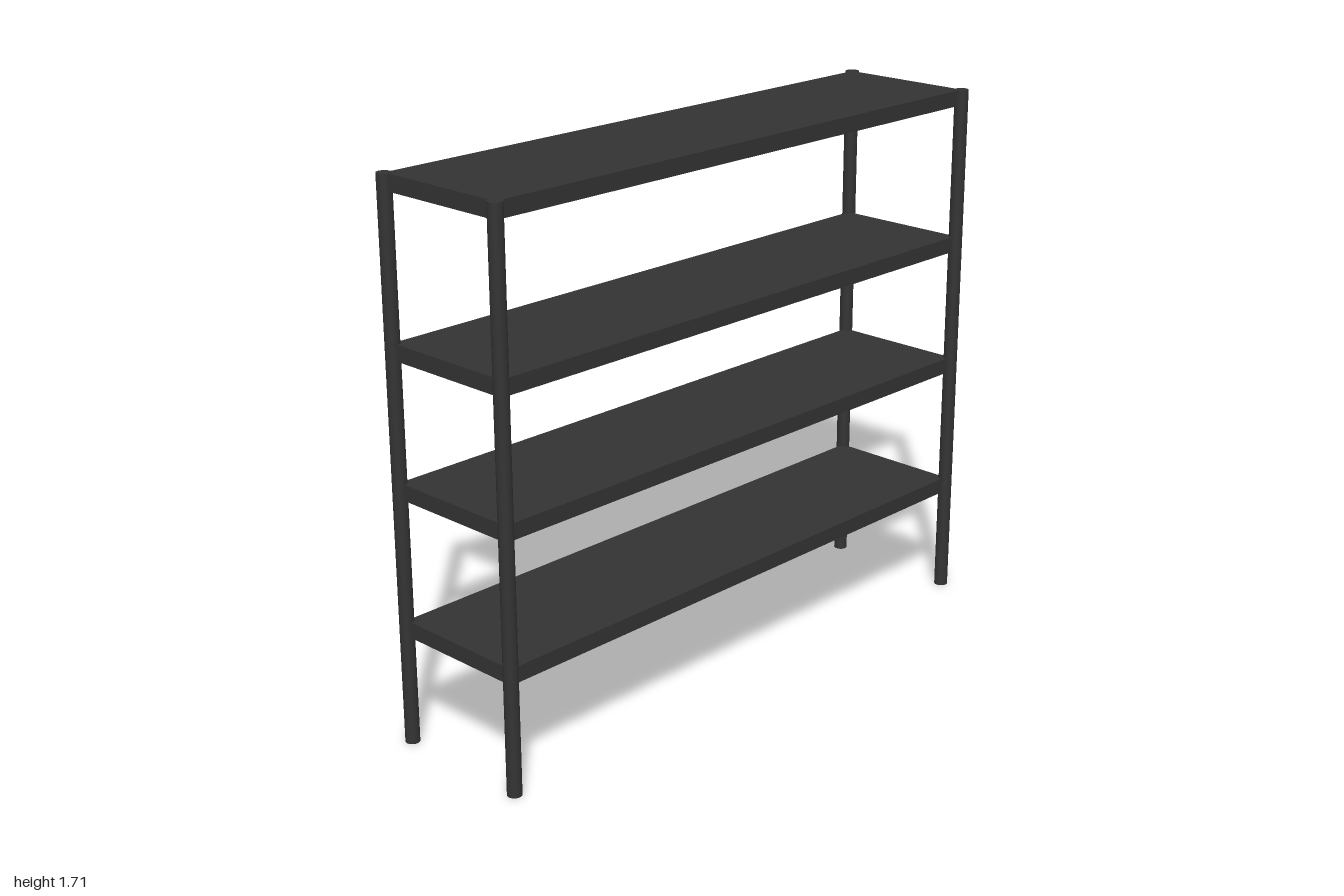
import * as THREE from 'three';

export function createModel() {
  const group = new THREE.Group();
  const material = new THREE.MeshStandardMaterial({ color: 0x333333 });
  const height = 1.71, radius = 0.022, postX = 0.978, postZ = 0.224;

  // Four round corner posts
  const postGeometry = new THREE.CylinderGeometry(radius, radius, height, 24);
  for (const sx of [-1, 1]) {
    for (const sz of [-1, 1]) {
      const post = new THREE.Mesh(postGeometry, material);
      post.name = (sz > 0 ? 'front' : 'back') + (sx > 0 ? 'Left' : 'Right') + 'Post';
      post.position.set(sx * postX, height / 2, sz * postZ);
      group.add(post);
    }
  }

  // Shelves span between the post centres; the top one sits just under the post ends
  const thickness = 0.05;
  const shelfGeometry = new THREE.BoxGeometry(postX * 2, thickness, postZ * 2);
  [0.365, 0.792, 1.205, 1.684].forEach((y, i) => {
    const shelf = new THREE.Mesh(shelfGeometry, material);
    shelf.name = `shelf${i + 1}`;
    shelf.position.y = y;
    group.add(shelf);
  });

  return group;
}
